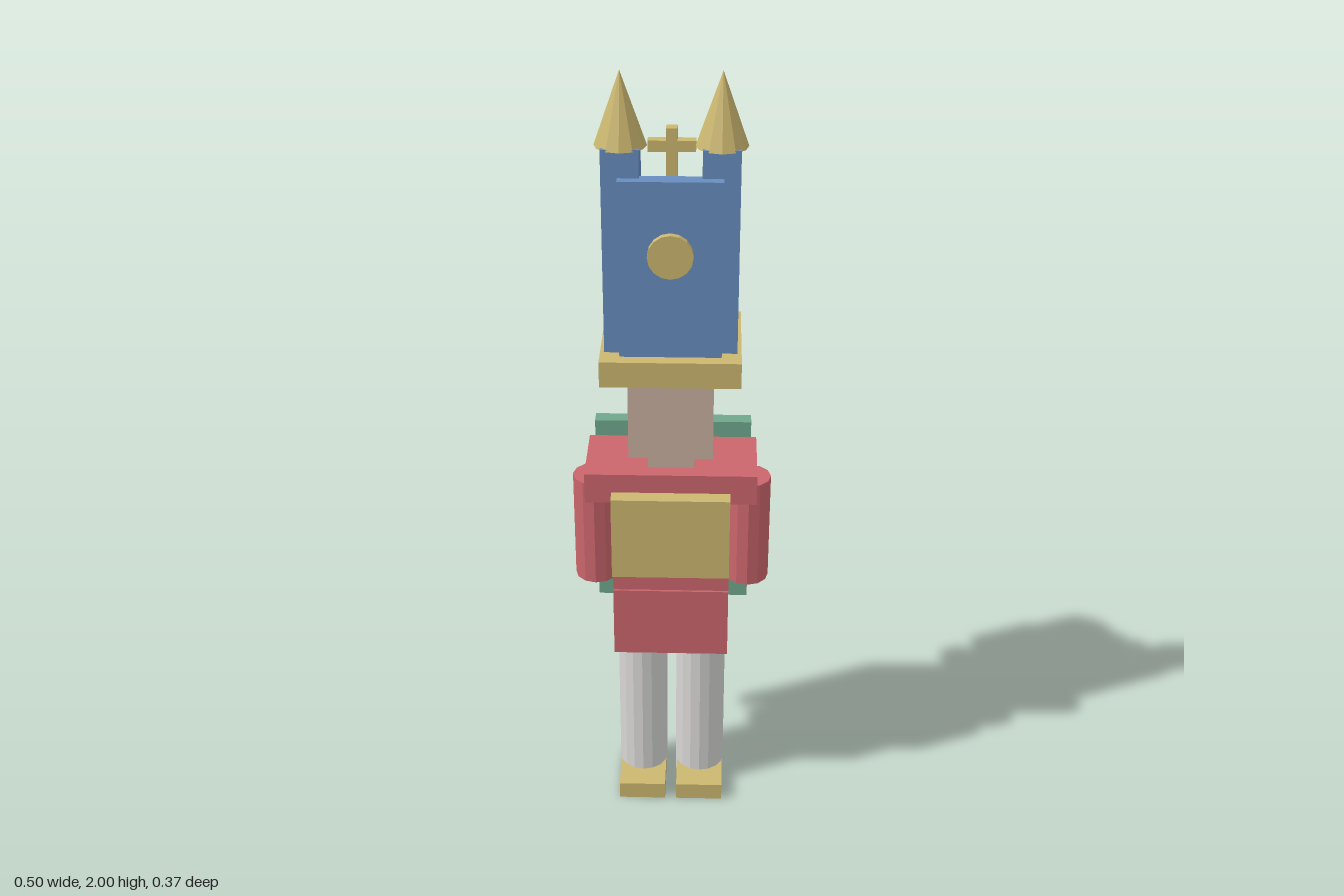
import * as THREE from 'three';

function mat(name, color) {
  const m = new THREE.MeshStandardMaterial({ color, flatShading: true });
  m.name = name;
  return m;
}

export function createModel() {
  const red = mat('coat red', 0xcb666c);
  const gold = mat('gold', 0xcbb76f);
  const blue = mat('slate blue', 0x678dc0);
  const green = mat('cape green', 0x6fa88d);
  const skin = mat('skin', 0xcab09f);
  const grey = mat('trouser grey', 0xd8d7d5);

  const root = new THREE.Group();
  root.name = 'figure';

  function add(parent, name, geometry, material, x, y, z) {
    const mesh = new THREE.Mesh(geometry, material);
    mesh.name = name;
    mesh.position.set(x, y, z);
    parent.add(mesh);
    return mesh;
  }
  // Box given by its limits on each axis
  function box(parent, name, material, [x0, x1], [y0, y1], [z0, z1]) {
    return add(parent, name, new THREE.BoxGeometry(x1 - x0, y1 - y0, z1 - z0), material,
      (x0 + x1) / 2, (y0 + y1) / 2, (z0 + z1) / 2);
  }
  // Upright cylinder or cone between two heights
  function column(parent, name, material, x, z, r, [y0, y1], sides, topR = r) {
    return add(parent, name, new THREE.CylinderGeometry(topR, r, y1 - y0, sides), material,
      x, (y0 + y1) / 2, z);
  }
  const wide = (w) => [-w, w];
  const group = (name) => {
    const g = new THREE.Group();
    g.name = name;
    root.add(g);
    return g;
  };

  // Body
  const body = group('body');
  box(body, 'hips', red, wide(0.147), [0.475, 0.67], [-0.07, 0.141]);
  box(body, 'chest', red, wide(0.147), [0.67, 0.93], [-0.063, 0.135]);
  box(body, 'shoulders', red, wide(0.213), [0.93, 1.01], [-0.064, 0.136]);
  box(body, 'breastplate', gold, wide(0.147), [0.735, 0.96], [0.13, 0.175]);
  box(body, 'backPanel', green, wide(0.2), [0.51, 1.045], [-0.118, -0.079]);

  // Limbs
  const limbs = group('limbs');
  for (const s of [-1, 1]) {
    const side = s > 0 ? 'left' : 'right';
    column(limbs, side + 'Leg', grey, s * 0.077, 0.038, 0.065, [0, 0.475], 16);
    box(limbs, side + 'Shoe', gold, [s * 0.077 - 0.062, s * 0.077 + 0.062], [0, 0.048], [-0.026, 0.165]);
    column(limbs, side + 'Arm', red, s * 0.195, 0.036, 0.055, [0.66, 0.955], 12);
  }

  // Head
  const head = group('head');
  box(head, 'neck', skin, wide(0.057), [1.01, 1.06], [-0.02, 0.096]);
  box(head, 'face', skin, wide(0.103), [1.06, 1.265], [-0.062, 0.138]);

  // Church-shaped hat
  const hat = group('churchHat');
  box(hat, 'hatBase', gold, wide(0.167), [1.275, 1.34], [-0.112, 0.182]);
  box(hat, 'nave', blue, wide(0.107), [1.34, 1.69], [-0.078, 0.112]);
  column(hat, 'apse', blue, 0, -0.078, 0.107, [1.35, 1.655], 16);
  box(hat, 'facade', blue, wide(0.12), [1.34, 1.77], [0.11, 0.15]);

  // Round window on the facade
  const rose = add(hat, 'roundWindow', new THREE.CylinderGeometry(0.053, 0.053, 0.02, 16), gold, 0, 1.597, 0.157);
  rose.rotation.x = Math.PI / 2;

  // Towers, spires and rear buttresses
  for (const s of [-1, 1]) {
    const side = s > 0 ? 'left' : 'right';
    const x = s * 0.114;
    box(hat, side + 'Tower', blue, [x - 0.043, x + 0.043], [1.34, 1.835], [0.025, 0.127]);
    column(hat, side + 'Spire', gold, x, 0.076, 0.06, [1.83, 2], 12, 0);
    box(hat, side + 'Buttress', gold, [s * 0.088 - 0.02, s * 0.088 + 0.02], [1.335, 1.56], [-0.165, -0.03]);
  }

  // Roof cross
  box(hat, 'crossPost', gold, wide(0.013), [1.68, 1.855], [0.008, 0.035]);
  box(hat, 'crossBar', gold, wide(0.055), [1.8, 1.826], [0.0085, 0.0345]);

  return root;
}
